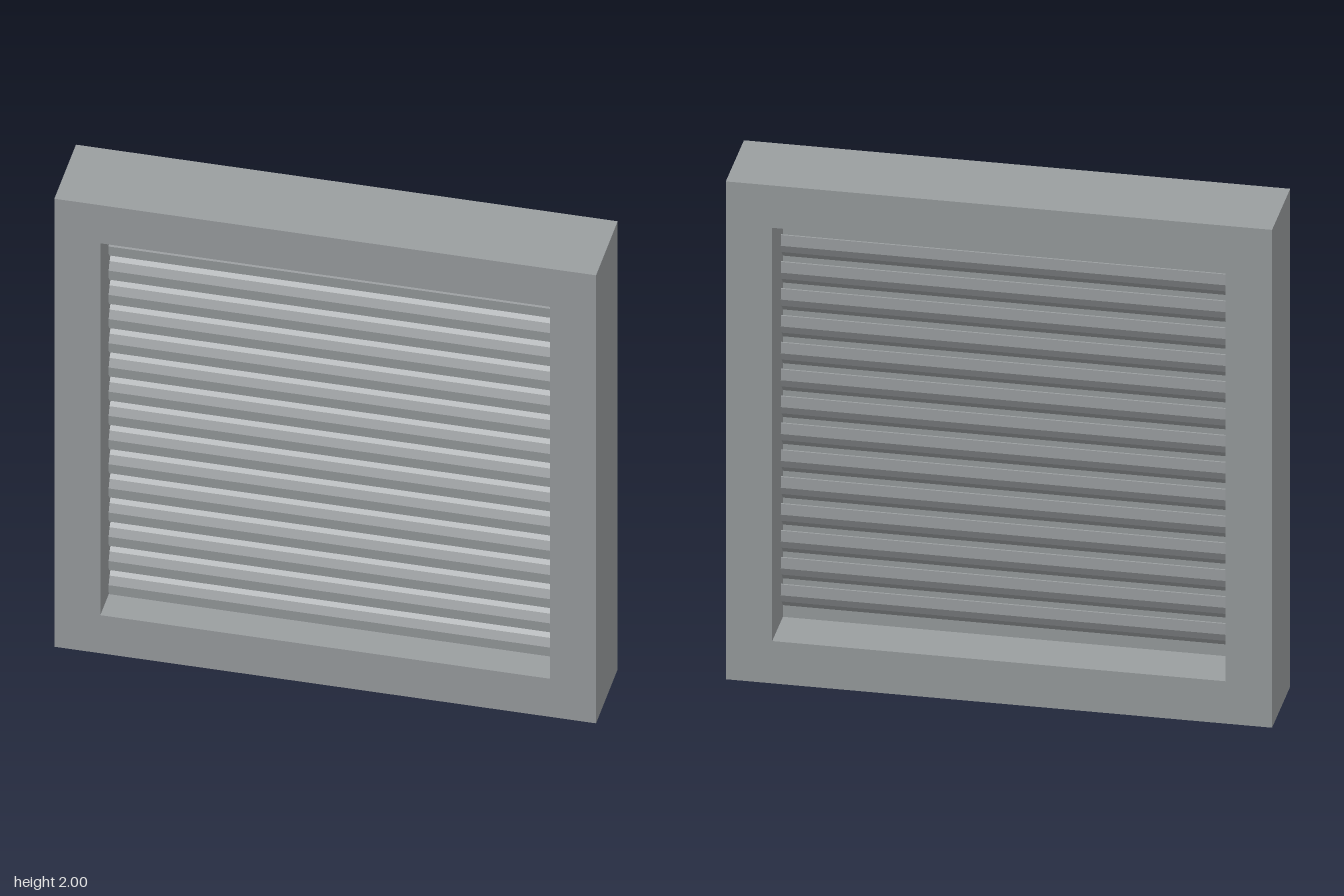
import * as THREE from 'three';

const HALF = 0.83;     // half size of the opening
const DEPTH = 0.336;   // frame depth
const COUNT = 15;      // number of slats
const PITCH = 0.108;   // vertical spacing of slats

export function createModel() {
  const group = new THREE.Group();
  const material = new THREE.MeshStandardMaterial({ color: 0x9a9ea0, flatShading: true });

  // Square frame with a square opening
  const outline = new THREE.Shape([[-1, -1], [1, -1], [1, 1], [-1, 1]].map(p => new THREE.Vector2(...p)));
  outline.holes.push(new THREE.Path(
    [[-HALF, -HALF], [-HALF, HALF], [HALF, HALF], [HALF, -HALF]].map(p => new THREE.Vector2(...p))));
  const frameGeometry = new THREE.ExtrudeGeometry(outline, { depth: DEPTH, bevelEnabled: false });
  frameGeometry.translate(0, 1, -DEPTH / 2);
  const frame = new THREE.Mesh(frameGeometry, material);
  frame.name = 'frame';
  group.add(frame);

  // Slat section as [z, y]: front side from top to bottom, the back is its half turn
  const front = [[0, 0.074], [0, 0.027], [0.025, 0], [0.04, -0.032], [0.037, -0.074]];
  const back = front.map(([z, y]) => [0.03 - z, -y]);
  const profile = new THREE.Shape([...front, ...back].map(([z, y]) => new THREE.Vector2(-z, y)));
  const slatGeometry = new THREE.ExtrudeGeometry(profile, { depth: 2 * HALF, bevelEnabled: false });
  slatGeometry.translate(0, 0, -HALF);
  slatGeometry.rotateY(Math.PI / 2);

  // Overlapping slats across the opening
  const slats = new THREE.Group();
  slats.name = 'slats';
  for (let i = 0; i < COUNT; i++) {
    const slat = new THREE.Mesh(slatGeometry, material);
    slat.name = 'slat';
    slat.position.y = 1 + (i - (COUNT - 1) / 2) * PITCH;
    slats.add(slat);
  }
  group.add(slats);
  return group;
}
